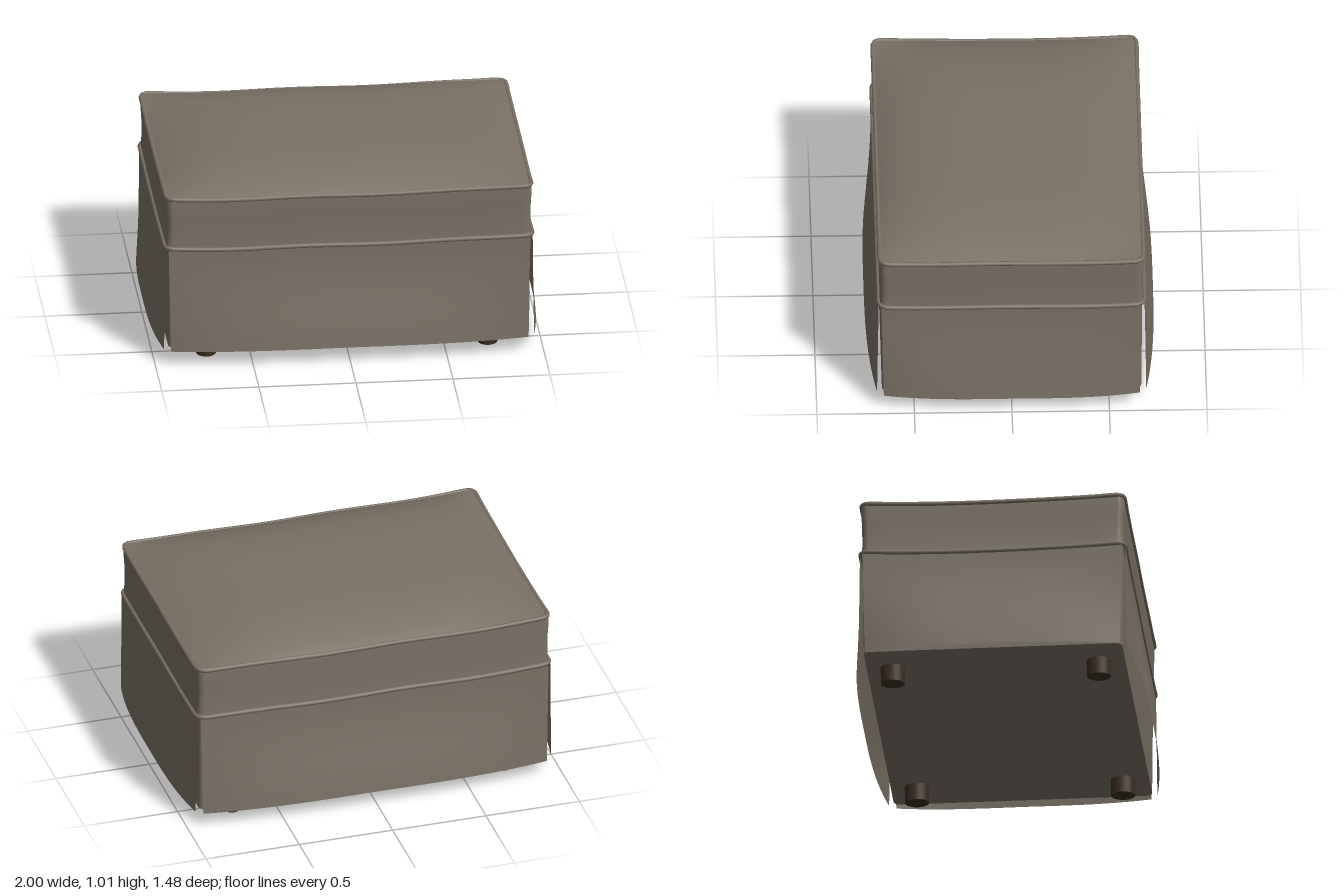
import * as THREE from 'three';

const fabric = new THREE.MeshStandardMaterial({ color: 0x7a7165, side: THREE.DoubleSide });
fabric.name = 'taupe fabric';
const wood = new THREE.MeshStandardMaterial({ color: 0x3b2e22 });
wood.name = 'dark wood';

// Rounded rectangle as a closed list of [x, z] points, running from +x towards +z
function ring(hx, hz, r = 0.035) {
  const corners = [[1, 1, 0], [-1, 1, 1], [-1, -1, 2], [1, -1, 3]];
  const arcs = corners.map(([sx, sz, q]) => {
    const arc = [];
    for (let i = 0; i <= 4; i++) {
      const a = (q + i / 4) * Math.PI / 2;
      arc.push([sx * (hx - r) + r * Math.cos(a), sz * (hz - r) + r * Math.sin(a)]);
    }
    return arc;
  });
  const pts = [];
  arcs.forEach((arc, k) => {
    pts.push(...arc);
    const a = arc[4], b = arcs[(k + 1) % 4][0];
    for (let i = 1; i < 14; i++) {
      const t = i / 14;
      pts.push([a[0] + (b[0] - a[0]) * t, a[1] + (b[1] - a[1]) * t]);
    }
  });
  return pts;
}

// Skin a stack of closed loops of [x, y, z] points
function loft(loops) {
  const n = loops[0].length, index = [];
  for (let k = 0; k < loops.length - 1; k++) {
    for (let i = 0; i < n; i++) {
      const j = (i + 1) % n, a = k * n + i, b = k * n + j;
      index.push(a, a + n, b, b, a + n, b + n);
    }
  }
  const g = new THREE.BufferGeometry();
  g.setAttribute('position', new THREE.Float32BufferAttribute(loops.flat(2), 3));
  g.setIndex(index);
  g.computeVertexNormals();
  return g;
}

const flatLoop = (hx, y, hz) => ring(hx, hz).map(([x, z]) => [x, y, z]);

// Gentle cloth waviness, lifting a little at the corners
const sag = (x, z) => 0.012 * Math.pow(Math.abs(x * z) / 0.63, 4)
  + 0.003 * Math.sin(8 * x + 5 * z) - 0.002;

export function createModel() {
  const model = new THREE.Group();
  model.name = 'ottoman';
  const add = (name, geometry, material = fabric) => {
    const mesh = new THREE.Mesh(geometry, material);
    mesh.name = name;
    model.add(mesh);
    return mesh;
  };

  // Upholstered box: underside, inner frame and upper band
  add('underside', loft([0, 1].map(s => ring(0.93, 0.665).map(([x, z]) => [x * s, 0.09, z * s]))));
  add('innerFrame', loft([flatLoop(0.93, 0.09, 0.665), flatLoop(0.935, 0.64, 0.67)]));
  add('upperBand', loft([
    [0.943, 0.635, 0.677], [0.938, 0.7, 0.672], [0.938, 0.8, 0.673], [0.942, 0.87, 0.677], [0.94, 0.92, 0.674],
  ].map(([hx, y, hz]) => ring(hx, hz).map(([x, z]) => [x, y + (y > 0.9 ? sag(x, z) : 0), z]))));

  // Domed cushion top
  const steps = [1, 0.985, 0.96, 0.92, 0.86, 0.78, 0.68, 0.56, 0.42, 0.25, 0];
  add('cushionTop', loft(steps.map(s => ring(0.94, 0.674).map(([px, pz]) => {
    const x = px * s, z = pz * s;
    const dome = (1 - Math.pow(Math.abs(x) / 0.94, 4)) * (1 - Math.pow(Math.abs(z) / 0.674, 4));
    return [x, 0.918 + 0.097 * dome + sag(x, z) * s * s, z];
  }))));

  // Piping cords around the band
  const piping = (name, hx, y, hz) => {
    const pts = ring(hx, hz, 0.04).map(([x, z]) => new THREE.Vector3(x, y + sag(x, z), z));
    add(name, new THREE.TubeGeometry(new THREE.CatmullRomCurve3(pts, true), 240, 0.012, 8, true));
  };
  piping('upperPiping', 0.94, 0.913, 0.675);
  piping('lowerPiping', 0.945, 0.638, 0.68);

  // Four loose skirt panels, bowing outward towards the hem
  const skirt = (name, half, base, flare, turn) => {
    const g = new THREE.PlaneGeometry(2, 1, 28, 12);
    const p = g.attributes.position;
    for (let i = 0; i < p.count; i++) {
      const u = p.getX(i), t = 0.5 - p.getY(i);
      const bow = 1 - Math.pow(Math.abs(u), 3);
      const drop = THREE.MathUtils.smoothstep(t, 0.1, 1.15) / 0.95;
      p.setXYZ(i, u * (half - 0.012 * t), 0.638 - t * (0.553 + 0.005 * Math.abs(u)),
        base + 0.008 * t + flare * bow * drop);
    }
    g.computeVertexNormals();
    add(name, g).rotation.y = turn;
  };
  skirt('frontSkirt', 0.932, 0.682, 0.052, 0);
  skirt('leftSkirt', 0.668, 0.945, 0.046, Math.PI / 2);
  skirt('backSkirt', 0.932, 0.682, 0.052, Math.PI);
  skirt('rightSkirt', 0.668, 0.945, 0.046, -Math.PI / 2);

  // Short round feet
  for (const x of [-0.725, 0.725]) {
    for (const z of [-0.53, 0.53]) {
      const foot = add('foot', new THREE.CylinderGeometry(0.054, 0.052, 0.1, 24), wood);
      foot.position.set(x, 0.05, z);
      foot.scale.z = 1.18;
    }
  }
  return model;
}
